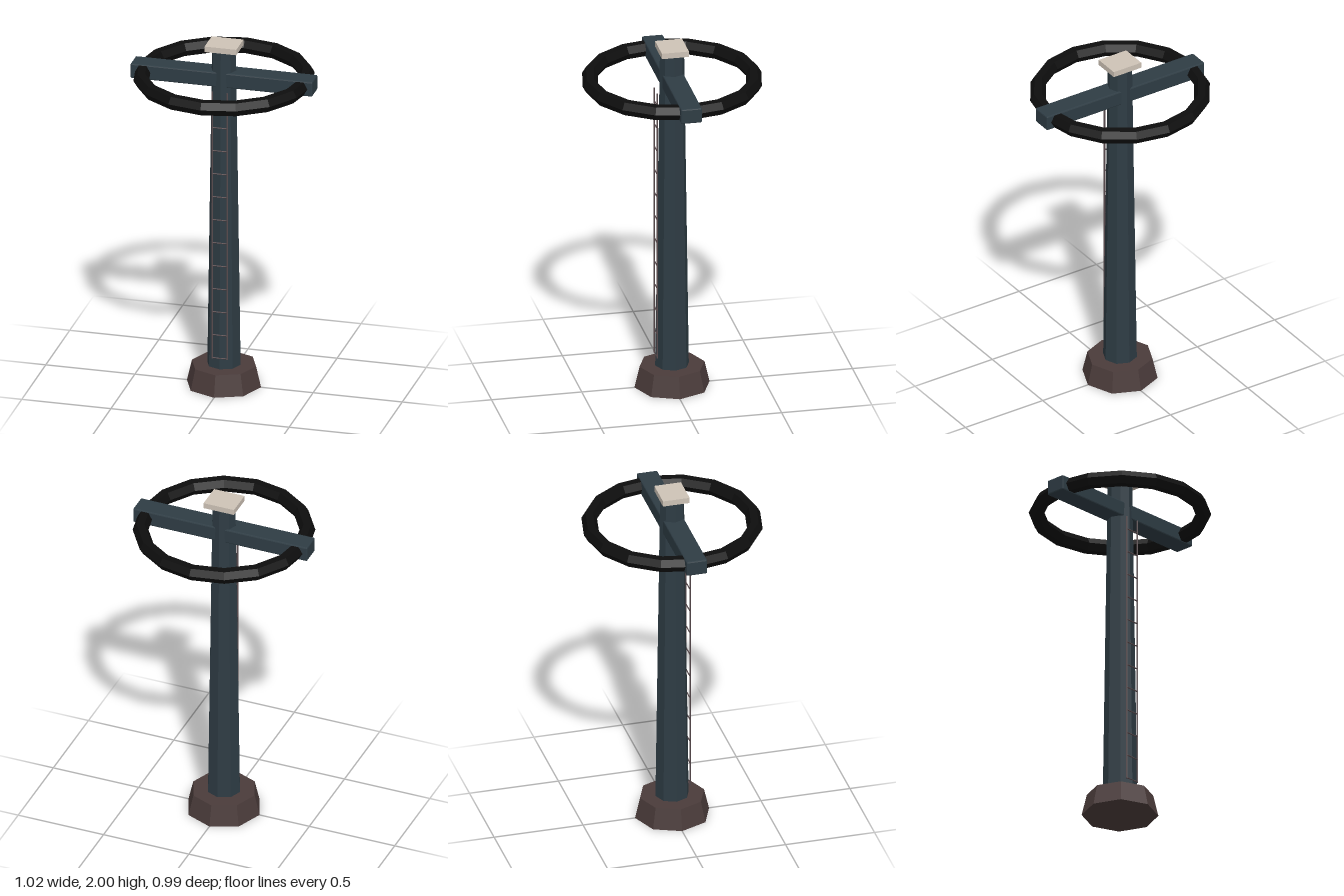
import * as THREE from 'three';
import { RoundedBoxGeometry } from 'three/addons/geometries/RoundedBoxGeometry.js';

function material(name, color) {
  const m = new THREE.MeshStandardMaterial({ color });
  m.name = name;
  return m;
}

// Give every face its own normal for a low-poly look
function faceted(geometry) {
  const g = geometry.index ? geometry.toNonIndexed() : geometry;
  g.computeVertexNormals();
  return g;
}

export function createModel() {
  const model = new THREE.Group();
  model.name = 'ringTower';

  const slate = material('slateBlue', 0x2e3c44);
  const brown = material('darkBrown', 0x4a3b3a);
  const black = material('black', 0x0d0d0d);
  const cream = material('cream', 0xcdc2b6);
  const iron = material('ironGrey', 0x57494c);

  const add = (parent, name, geometry, mat, x, y, z) => {
    const mesh = new THREE.Mesh(faceted(geometry), mat);
    mesh.name = name;
    mesh.position.set(x, y, z);
    parent.add(mesh);
    return mesh;
  };

  // Octagonal foot and tapering mast
  add(model, 'base', new THREE.CylinderGeometry(0.18, 0.208, 0.12, 8), brown, 0, 0.06, 0);
  add(model, 'mast', new THREE.CylinderGeometry(0.067, 0.094, 1.92, 8), slate, 0, 1.02, 0);

  // Square cap plate
  add(model, 'cap', new THREE.BoxGeometry(0.178, 0.032, 0.15), cream, 0, 1.984, 0);

  // Cross beam with slightly bevelled edges
  add(model, 'crossBeam', new RoundedBoxGeometry(1.02, 0.086, 0.116, 1, 0.007), slate, 0, 1.804, 0);

  // Horizontal ring with a hexagonal section
  const ring = new THREE.TorusGeometry(0.452, 0.043, 6, 16).rotateX(Math.PI / 2);
  add(model, 'ring', ring, black, 0, 1.804, 0);

  // Ladder up the front of the mast
  const ladder = new THREE.Group();
  ladder.name = 'ladder';
  model.add(ladder);
  for (const side of [-1, 1]) {
    add(ladder, side > 0 ? 'leftRail' : 'rightRail',
      new THREE.CylinderGeometry(0.0045, 0.0045, 1.565, 6), iron, side * 0.042, 0.9625, 0.09);
  }
  for (let i = 0; i < 12; i++) {
    const rung = new THREE.CylinderGeometry(0.0035, 0.0035, 0.084, 6).rotateZ(Math.PI / 2);
    add(ladder, 'rung' + (i + 1), rung, iron, 0, 0.184 + i * 0.1352, 0.09);
  }

  return model;
}
